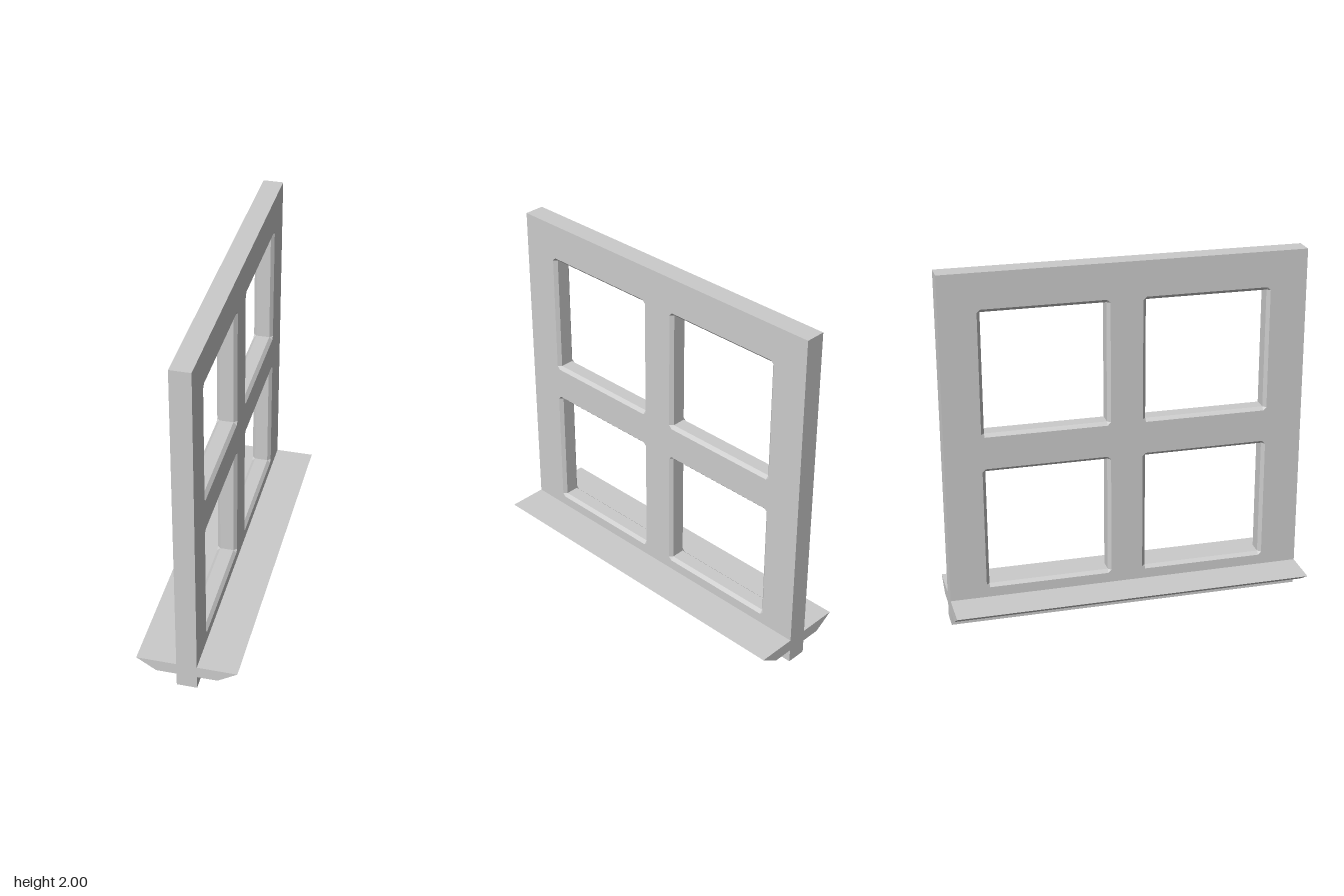
import * as THREE from 'three';
import { mergeGeometries } from 'three/addons/utils/BufferGeometryUtils.js';

const HALF = 0.056;   // half thickness of the frame
const BEVEL = 0.018;  // chamfer around each pane opening
const PANE = 0.336;   // half size of each opening

const material = new THREE.MeshStandardMaterial({ color: 0xcccccc, flatShading: true });

// Joins equal-length loops of [x, y, z] points; counter-clockwise loops
// running from +z to -z give faces that look inward.
function loft(loops) {
  const pos = [];
  for (let k = 0; k < loops.length - 1; k++) {
    const A = loops[k], B = loops[k + 1], n = A.length;
    for (let i = 0; i < n; i++) {
      const a = A[i], b = A[(i + 1) % n], c = B[(i + 1) % n], d = B[i];
      for (const t of [[a, b, c], [a, c, d]]) {
        const [u, v, w] = t.map((p) => new THREE.Vector3(...p));
        if (v.sub(u).cross(w.sub(u)).length() > 1e-9) pos.push(...t.flat());
      }
    }
  }
  const g = new THREE.BufferGeometry();
  g.setAttribute('position', new THREE.Float32BufferAttribute(pos, 3));
  g.computeVertexNormals();
  return g;
}

// Square loop with each corner split in two; grow > 0 clips the corners
function openingLoop(cx, cy, grow, z) {
  const s = PANE, o = PANE + grow;
  return [[-s, -o], [s, -o], [o, -s], [o, s], [s, o], [-s, o], [-o, s], [-o, -s]]
    .map(([x, y]) => [cx + x, cy + y, z]);
}

function frameGeometry() {
  const outline = [[-1, 0], [1, 0], [1, 2], [-1, 2]];
  const face = new THREE.Shape(outline.map(([x, y]) => new THREE.Vector2(x, y)));
  const parts = [];

  // Four pane openings, chamfered on both faces
  for (const cx of [-0.443, 0.443]) {
    for (const cy of [0.558, 1.448]) {
      const loops = [[BEVEL, HALF], [0, HALF - BEVEL], [0, BEVEL - HALF], [BEVEL, -HALF]]
        .map(([grow, z]) => openingLoop(cx, cy, grow, z));
      parts.push(loft(loops));
      face.holes.push(new THREE.Path(loops[0].map(([x, y]) => new THREE.Vector2(x, y)).reverse()));
    }
  }

  // Outer edge
  parts.push(loft([-HALF, HALF].map((z) => outline.map(([x, y]) => [x, y, z]))));

  // Both flat faces
  for (const turn of [0, Math.PI]) {
    const cap = new THREE.ShapeGeometry(face).toNonIndexed();
    cap.deleteAttribute('uv');
    parts.push(cap.translate(0, 0, HALF).rotateY(turn));
  }
  return mergeGeometries(parts).rotateY(Math.PI / 2);
}

export function createModel() {
  const model = new THREE.Group();
  model.name = 'window';

  const frame = new THREE.Mesh(frameGeometry(), material);
  frame.name = 'windowFrame';
  model.add(frame);

  // Tapered sill on each side of the frame
  const profile = new THREE.Shape([[HALF, 0.078], [0.168, 0.078], [0.276, 0.147], [HALF, 0.147]]
    .map(([x, y]) => new THREE.Vector2(x, y)));
  const sillGeometry = new THREE.ExtrudeGeometry(profile, { depth: 2, bevelEnabled: false }).translate(0, 0, -1);
  for (const side of ['left', 'right']) {
    const sill = new THREE.Mesh(sillGeometry, material);
    sill.name = side + 'Sill';
    sill.rotation.y = side === 'left' ? 0 : Math.PI;
    model.add(sill);
  }
  return model;
}
